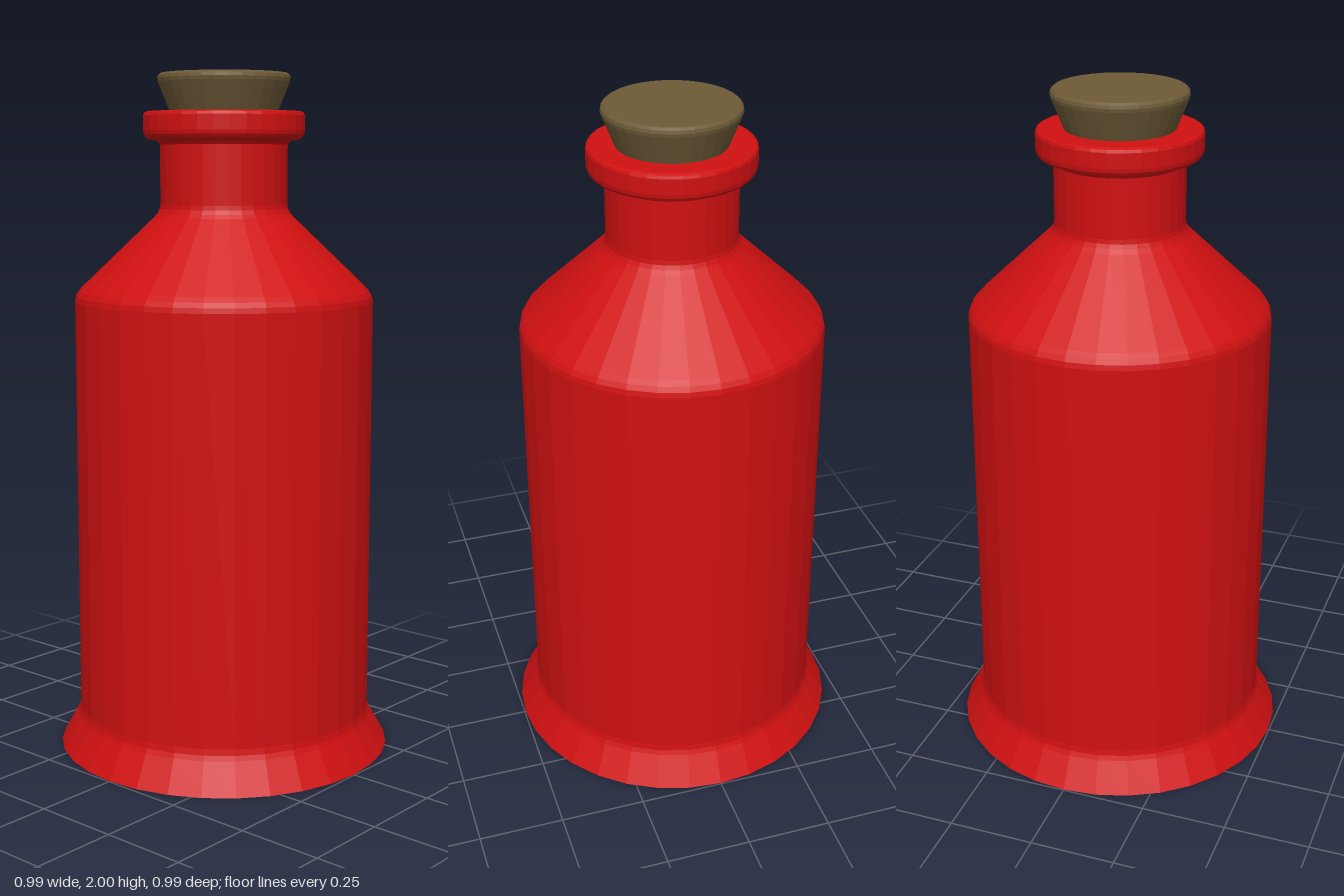
import * as THREE from 'three';

const SIDES = 32;

// Revolve a list of [radius, height] pairs, bottom to top
function turned(name, profile, material) {
  const points = profile.map(([r, y]) => new THREE.Vector2(r, y));
  const mesh = new THREE.Mesh(new THREE.LatheGeometry(points, SIDES), material);
  mesh.name = name;
  return mesh;
}

export function createModel() {
  const red = new THREE.MeshStandardMaterial({ color: 0xd01011, flatShading: true });
  red.name = 'red glaze';
  const brown = new THREE.MeshStandardMaterial({ color: 0x6d5a37, flatShading: true });
  brown.name = 'cork brown';

  const group = new THREE.Group();
  group.name = 'corkedBottle';

  // Flared foot, straight body, sloped shoulder and neck
  group.add(turned('bottleBody', [
    [0, 0], [0.497, 0],
    [0.447, 0.088], [0.441, 0.102], [0.438, 0.12],
    [0.438, 1.345], [0.435, 1.36], [0.427, 1.374], [0.415, 1.387],
    [0.204, 1.588], [0.194, 1.6], [0.188, 1.612], [0.186, 1.625],
    [0.186, 1.81],
  ], red));

  // Rounded lip, closed around the cork
  group.add(turned('lip', [
    [0.184, 1.793], [0.191, 1.803], [0.202, 1.808], [0.216, 1.81],
    [0.227, 1.815], [0.233, 1.824], [0.235, 1.835],
    [0.235, 1.878], [0.232, 1.886], [0.224, 1.89], [0, 1.89],
  ], red));

  // Tapered stopper with a softened top edge
  group.add(turned('cork', [
    [0, 1.86], [0.145, 1.86], [0.157, 1.89],
    [0.191, 1.974], [0.193, 1.984], [0.191, 1.993], [0.184, 1.999], [0.176, 2],
    [0, 2],
  ], brown));

  return group;
}
